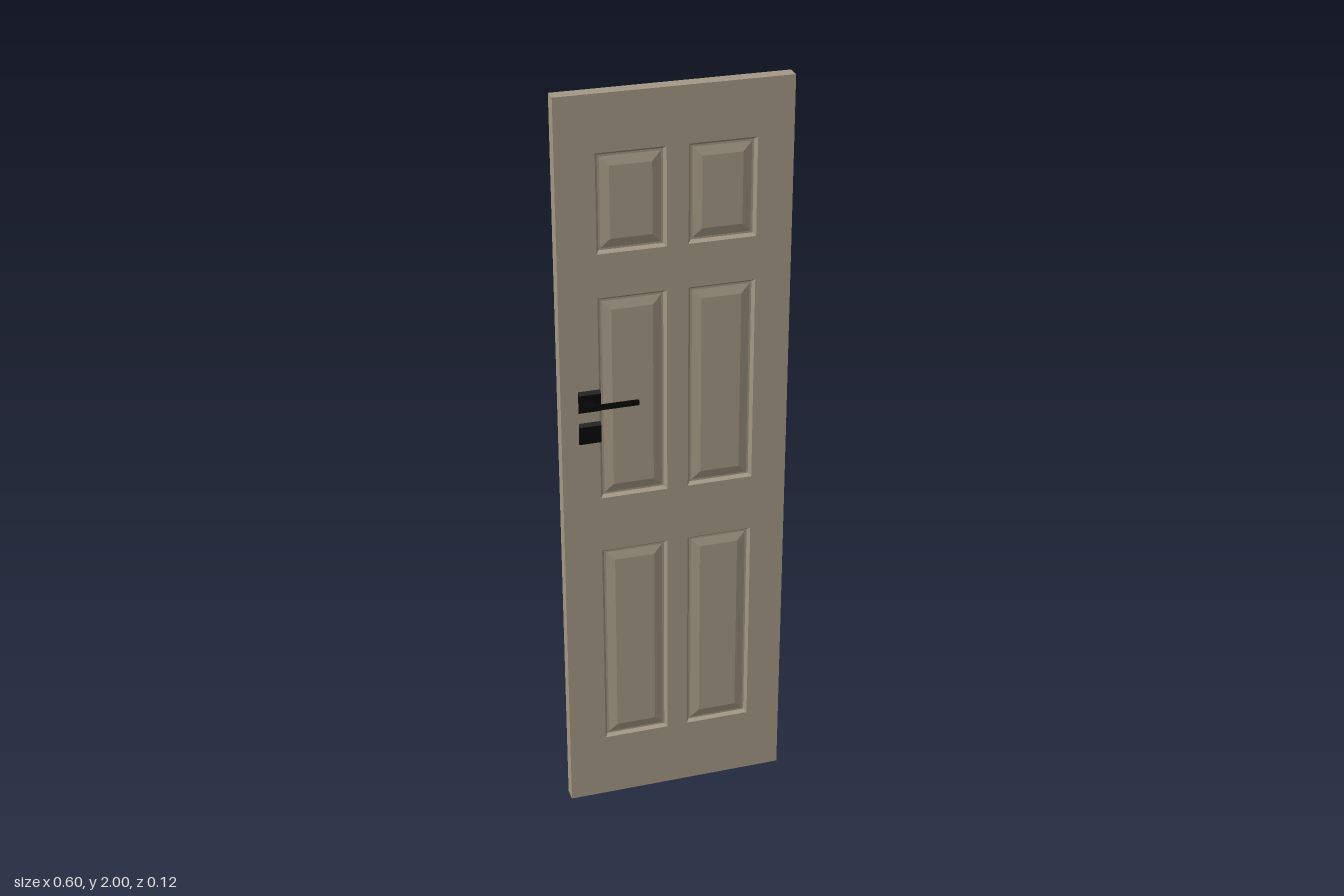
import * as THREE from 'three';

const FRONT = 0.017, BACK = -0.02;
const COLUMNS = [[-0.199, -0.023], [0.032, 0.205]];
const ROWS = [[0.185, 0.775], [0.93, 1.485], [1.6, 1.855]];

// Moulding steps from rim to raised field: [inset, depth below the face]
const MOULDING = [[0, 0], [0.007, 0.009], [0.012, 0.009], [0.035, 0.003]];

// Concentric rectangles joined by sloping bands, closed by a flat field
function panelGeometry(x0, x1, y0, y1, faceZ, side) {
  const pos = [];
  const quad = (a, b, c, d) => {
    const order = side > 0 ? [a, b, c, a, c, d] : [a, c, b, a, d, c];
    order.forEach(p => pos.push(...p));
  };
  const rings = MOULDING.map(([i, d]) => {
    const z = faceZ - side * d;
    return [[x0 + i, y0 + i, z], [x1 - i, y0 + i, z], [x1 - i, y1 - i, z], [x0 + i, y1 - i, z]];
  });
  for (let r = 0; r < rings.length - 1; r++) {
    for (let k = 0; k < 4; k++) {
      const n = (k + 1) % 4;
      quad(rings[r][k], rings[r][n], rings[r + 1][n], rings[r + 1][k]);
    }
  }
  quad(...rings[rings.length - 1]);
  const g = new THREE.BufferGeometry();
  g.setAttribute('position', new THREE.Float32BufferAttribute(pos, 3));
  g.computeVertexNormals();
  return g;
}

function rectangle(Type, x0, x1, y0, y1) {
  return new Type([[x0, y0], [x1, y0], [x1, y1], [x0, y1]].map(p => new THREE.Vector2(...p)));
}

export function createModel() {
  const model = new THREE.Group();
  model.name = 'door';
  const paint = new THREE.MeshStandardMaterial({ color: 0xa59986 });
  paint.name = 'taupe paint';
  const metal = new THREE.MeshStandardMaterial({ color: 0x060606 });
  metal.name = 'black metal';

  const add = (parent, name, geometry, material) => {
    const mesh = new THREE.Mesh(geometry, material);
    mesh.name = name;
    parent.add(mesh);
    return mesh;
  };

  // Frame of stiles and rails, with six openings
  const outline = rectangle(THREE.Shape, -0.298, 0.297, 0, 2);
  for (const [x0, x1] of COLUMNS) {
    for (const [y0, y1] of ROWS) outline.holes.push(rectangle(THREE.Path, x0, x1, y0, y1));
  }
  const frame = new THREE.ExtrudeGeometry(outline, { depth: FRONT - BACK, bevelEnabled: false });
  frame.translate(0, 0, BACK);
  add(model, 'doorFrame', frame, paint);

  // Raised panels on both faces
  for (const [x0, x1] of COLUMNS) {
    for (const [y0, y1] of ROWS) {
      add(model, 'frontPanel', panelGeometry(x0, x1, y0, y1, FRONT, 1), paint);
      add(model, 'backPanel', panelGeometry(x0, x1, y0, y1, BACK, -1), paint);
    }
  }

  // Lever set: two square plates, a neck and a lever pointing inward
  const leverSet = (name, x, faceZ, side) => {
    const set = new THREE.Group();
    set.name = name;
    const box = (part, x0, x1, y0, y1, d0, d1) => {
      const mesh = add(set, part, new THREE.BoxGeometry(x1 - x0, y1 - y0, d1 - d0), metal);
      mesh.position.set((x0 + x1) / 2, (y0 + y1) / 2, faceZ + side * (d0 + d1) / 2);
    };
    // Plates slope back at their top and bottom edges
    const plate = (part, y) => {
      const g = new THREE.BoxGeometry(0.056, 0.06, 0.009);
      const p = g.attributes.position;
      for (let i = 0; i < p.count; i++) {
        if (p.getZ(i) * side > 0) p.setY(i, p.getY(i) * 0.75);
      }
      g.computeVertexNormals();
      add(set, part, g, metal).position.set(x, y, faceZ + side * 0.0045);
    };
    plate('handlePlate', 1.21);
    plate('lockPlate', 1.122);
    box('handleNeck', x - 0.019, x + 0.005, 1.204, 1.216, 0.008, 0.036);
    box('lever', x - 0.019, x + 0.117, 1.204, 1.216, 0.034, 0.043);
    model.add(set);
  };
  leverSet('frontHandle', -0.225, FRONT, 1);
  leverSet('backHandle', -0.235, BACK, -1);

  return model;
}
